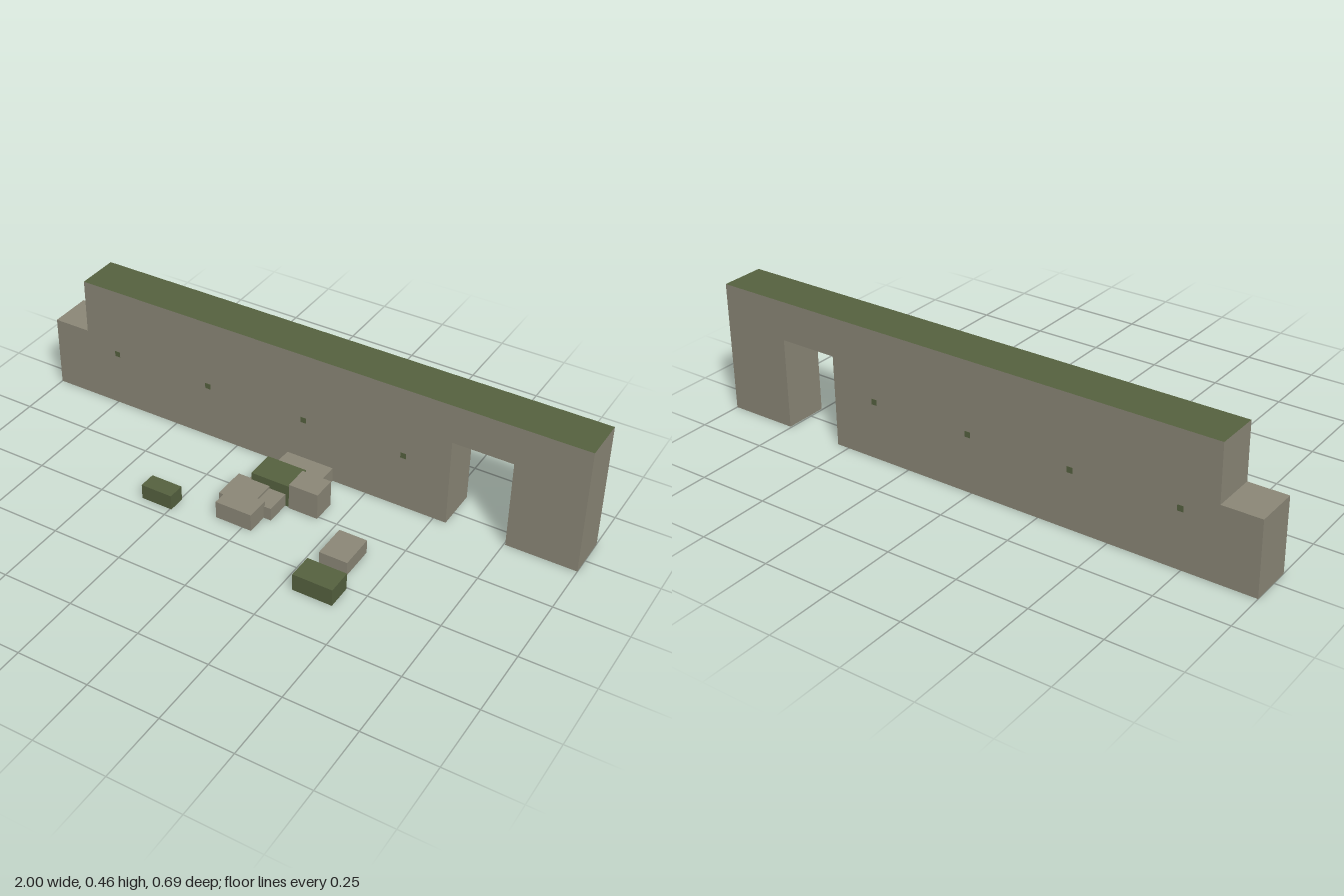
import * as THREE from 'three';

const stone = new THREE.MeshStandardMaterial({ name: 'stone', color: 0x8c8878, side: THREE.DoubleSide });
const moss = new THREE.MeshStandardMaterial({ name: 'moss', color: 0x566240, side: THREE.DoubleSide });

const BACK = -0.345, FRONT = -0.19;

function add(group, name, geometry, material) {
  const mesh = new THREE.Mesh(geometry, material);
  mesh.name = name;
  group.add(mesh);
  return mesh;
}

// Box without its underside, standing on the ground
function openBox(x0, x1, z0, z1, h) {
  const g = new THREE.BoxGeometry(x1 - x0, h, z1 - z0);
  g.setIndex([...g.index.array].filter((_, i) => i < 18 || i >= 24));
  g.clearGroups();
  return g.translate((x0 + x1) / 2, h / 2, (z0 + z1) / 2);
}

// Flat strip through the wall thickness, following one edge of the outline
function edgeStrip([x0, y0], [x1, y1]) {
  const g = new THREE.BufferGeometry();
  g.setAttribute('position', new THREE.Float32BufferAttribute([
    x0, y0, FRONT, x0, y0, BACK, x1, y1, BACK, x1, y1, FRONT], 3));
  g.setIndex([0, 1, 2, 0, 2, 3]);
  g.computeVertexNormals();
  return g;
}

function buildWall() {
  const wall = new THREE.Group();
  wall.name = 'ruinedWall';
  // Counter-clockwise outline with a doorway and a broken step
  const outline = [
    [-1, 0], [0.545, 0], [0.545, 0.32], [0.755, 0.32], [0.755, 0],
    [1, 0], [1, 0.458], [-0.865, 0.458], [-0.865, 0.26], [-1, 0.26],
  ];
  const shape = new THREE.Shape(outline.map(([x, y]) => new THREE.Vector2(x, y)));
  add(wall, 'frontFace', new THREE.ShapeGeometry(shape).translate(0, 0, FRONT), stone);
  const mirrored = new THREE.Shape(outline.map(([x, y]) => new THREE.Vector2(-x, y)));
  add(wall, 'backFace', new THREE.ShapeGeometry(mirrored).rotateY(Math.PI).translate(0, 0, BACK), stone);

  // Ends, doorway and tops; the underside stays open
  outline.forEach((a, i) => {
    const b = outline[(i + 1) % outline.length];
    if (a[1] === 0 && b[1] === 0) return;
    const top = a[1] > 0.4 && b[1] > 0.4;
    add(wall, top ? 'mossyTop' : 'wallEdge', edgeStrip(a, b), top ? moss : stone);
  });

  // Tiny moss specks on both faces
  for (const x of [-0.74, -0.365, 0.01, 0.38])
    for (const z of [FRONT, BACK])
      add(wall, 'mossSpeck', new THREE.BoxGeometry(0.02, 0.02, 0.002), moss).position.set(x, 0.205, z);
  return wall;
}

function buildRubble() {
  const rubble = new THREE.Group();
  rubble.name = 'rubble';
  // x0, x1, z0, z1, height, material
  const blocks = [
    [-0.36, -0.245, 0.155, 0.216, 0.054, moss],
    [0.29, 0.43, 0.255, 0.345, 0.062, moss],
    [-0.07, 0.075, -0.1, 0.005, 0.083, moss],
    [0.3, 0.4, 0.073, 0.2, 0.05, stone],
    [-0.05, 0.125, -0.2, -0.124, 0.052, stone],
    [0.076, 0.183, -0.077, 0.01, 0.096, stone],
    [-0.122, 0, 0, 0.12, 0.056, stone],
    [-0.1, 0.033, 0.087, 0.173, 0.063, stone],
    [-0.085, 0.06, -0.02, 0.095, 0.047, stone],
  ];
  for (const [x0, x1, z0, z1, h, material] of blocks)
    add(rubble, material === moss ? 'mossyBlock' : 'fallenBlock', openBox(x0, x1, z0, z1, h), material);
  return rubble;
}

export function createModel() {
  const model = new THREE.Group();
  model.name = 'wallRuin';
  model.add(buildWall(), buildRubble());
  return model;
}
